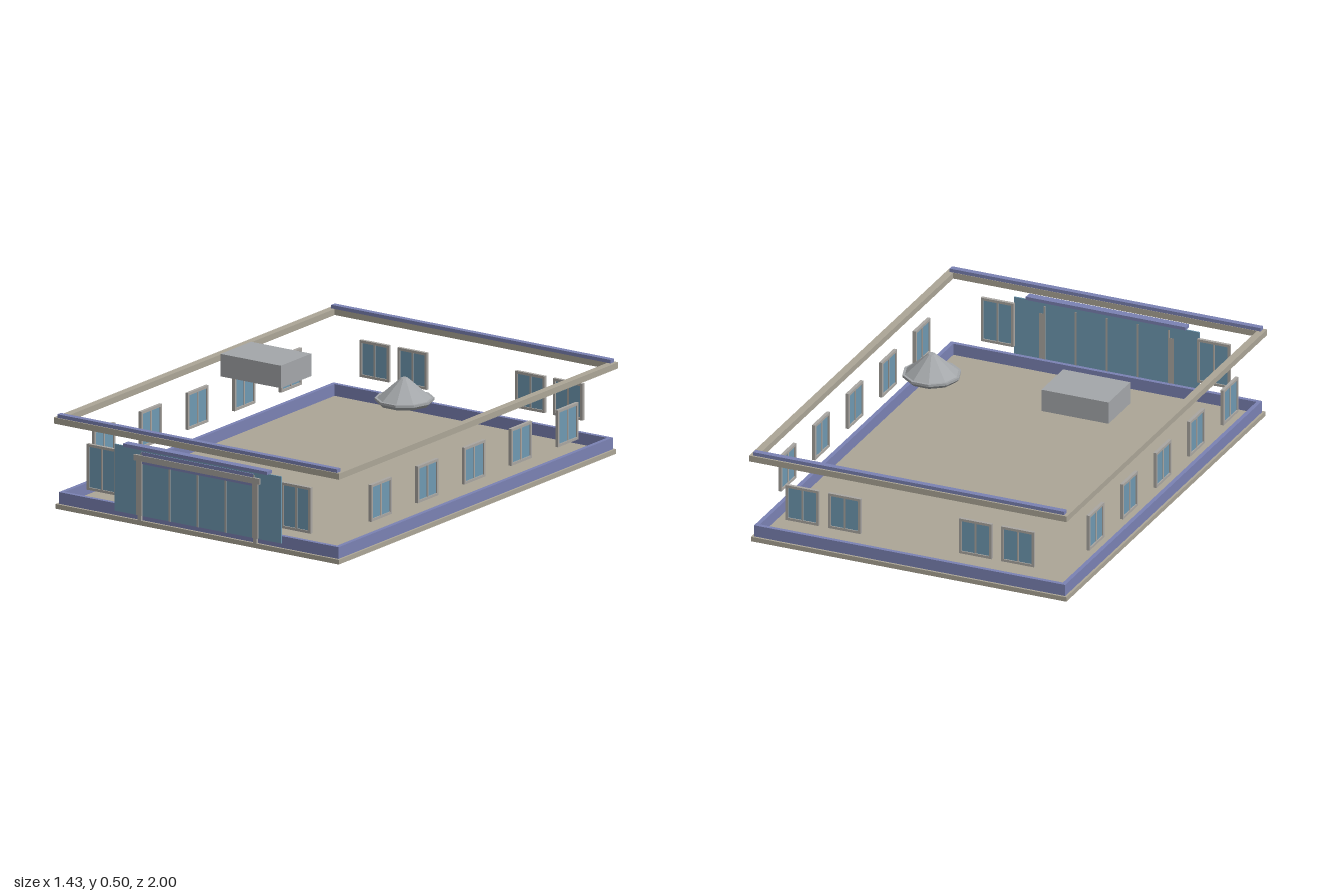
import * as THREE from 'three';

const mat = (color, extra = {}) => new THREE.MeshStandardMaterial({ color, ...extra });
const stone = mat(0xaca697);
const frameGrey = mat(0xaaa7a2);
const blue = mat(0x7b82b4);
const glass = mat(0x6f99b2);
const roofGrey = mat(0xa4a7aa, { flatShading: true });

// Box given by its min and max on each axis
function box(parent, name, material, [x0, x1], [y0, y1], [z0, z1]) {
  const mesh = new THREE.Mesh(new THREE.BoxGeometry(x1 - x0, y1 - y0, z1 - z0), material);
  mesh.position.set((x0 + x1) / 2, (y0 + y1) / 2, (z0 + z1) / 2);
  mesh.name = name;
  parent.add(mesh);
  return mesh;
}

// Hollow rectangle in the XY plane, centred on its origin, extruded along z
function rectRing(w, h, t, depth) {
  const corners = (a, b) => [[-a, -b], [a, -b], [a, b], [-a, b]].map(p => new THREE.Vector2(...p));
  const shape = new THREE.Shape(corners(w / 2, h / 2));
  shape.holes.push(new THREE.Path(corners(w / 2 - t, h / 2 - t)));
  return new THREE.ExtrudeGeometry(shape, { depth, bevelEnabled: false });
}

// Flat ring running round the building
function band(parent, name, material, w, l, t, y0, y1, z) {
  const geo = rectRing(w, l, t, y1 - y0).rotateX(-Math.PI / 2);
  const mesh = new THREE.Mesh(geo, material);
  mesh.position.set(0, y0, z);
  mesh.name = name;
  parent.add(mesh);
}

// Two-pane window with frame and centre mullion
function makeWindow(name, w, h) {
  const g = new THREE.Group();
  g.name = name;
  const d = 0.014, t = 0.011;
  const frame = new THREE.Mesh(rectRing(w, h, t, d).translate(0, 0, -d / 2), frameGrey);
  frame.name = 'windowFrame';
  g.add(frame);
  box(g, 'mullion', frameGrey, [-0.004, 0.004], [t - h / 2, h / 2 - t], [-0.005, 0.005]);
  box(g, 'windowGlass', glass, [t - w / 2, w / 2 - t], [t - h / 2, h / 2 - t], [-0.002, 0.002]);
  return g;
}

export function createModel() {
  const model = new THREE.Group();
  model.name = 'singleStoreyBuilding';
  const zc = -0.004;

  // Floor slab, plinth and cornice
  box(model, 'floorSlab', stone, [-0.71, 0.71], [0, 0.02], [-0.992, 0.985]);
  band(model, 'plinth', blue, 1.4, 1.957, 0.018, 0.02, 0.07, zc);
  band(model, 'cornice', stone, 1.43, 1.99, 0.032, 0.364, 0.39, -0.005);
  box(model, 'frontParapet', blue, [-0.7, 0.7], [0.39, 0.405], [0.96, 0.985]);
  box(model, 'backParapet', blue, [-0.7, 0.7], [0.39, 0.405], [-0.992, -0.967]);

  // Windows
  const place = (name, w, h, x, y, z, turn) => {
    const win = makeWindow(name, w, h);
    win.position.set(x, y, z);
    win.rotation.y = turn;
    model.add(win);
  };
  for (const s of [-1, 1]) {
    for (let i = -2; i <= 2; i++) {
      place('sideWindow', 0.147, 0.157, s * 0.693, 0.2, i * 0.333, s * Math.PI / 2);
    }
    for (const x of [0.295, 0.485]) place('backWindow', 0.147, 0.157, s * x, 0.2, -0.974, Math.PI);
    place('frontWindow', 0.147, 0.196, s * 0.487, 0.202, 0.968, 0);
  }

  // Glazed entrance
  const entrance = new THREE.Group();
  entrance.name = 'entrance';
  model.add(entrance);
  box(entrance, 'entranceGlass', glass, [-0.418, 0.418], [0.04, 0.325], [0.975, 0.981]);
  for (let i = -2; i <= 2; i++) {
    box(entrance, 'entranceMullion', frameGrey, [i * 0.14 - 0.004, i * 0.14 + 0.004], [0.04, 0.31], [0.973, 0.984]);
  }
  box(entrance, 'fascia', blue, [-0.28, 0.28], [0.263, 0.315], [0.979, 0.985]);
  box(entrance, 'lintel', frameGrey, [-0.315, 0.315], [0.275, 0.3], [0.979, 0.99]);
  for (const s of [-1, 1]) {
    const x = s * 0.29;
    box(entrance, 'post', frameGrey, [x - 0.014, x + 0.014], [0.042, 0.275], [0.974, 0.988]);
    box(entrance, 'postFoot', frameGrey, [x - 0.009, x + 0.009], [0.02, 0.042], [0.975, 0.986]);
  }
  box(entrance, 'canopy', blue, [-0.36, 0.36], [0.327, 0.341], [0.965, 1.0]);

  // Rooftop plant box
  box(model, 'rooftopUnit', roofGrey, [-0.5, -0.198], [0.39, 0.486], [-0.111, 0.106]);

  // Ten-sided skylight with lip and small flat cap
  const profile = [[0, 0.39], [0.108, 0.39], [0.123, 0.405], [0.123, 0.415], [0.112, 0.415],
    [0.02, 0.495], [0.014, 0.5], [0, 0.5]].map(p => new THREE.Vector2(...p));
  const skylight = new THREE.Mesh(new THREE.LatheGeometry(profile, 10), roofGrey);
  skylight.rotation.y = Math.PI / 10;
  skylight.position.set(0.343, 0, -0.005);
  skylight.name = 'skylight';
  model.add(skylight);

  return model;
}
